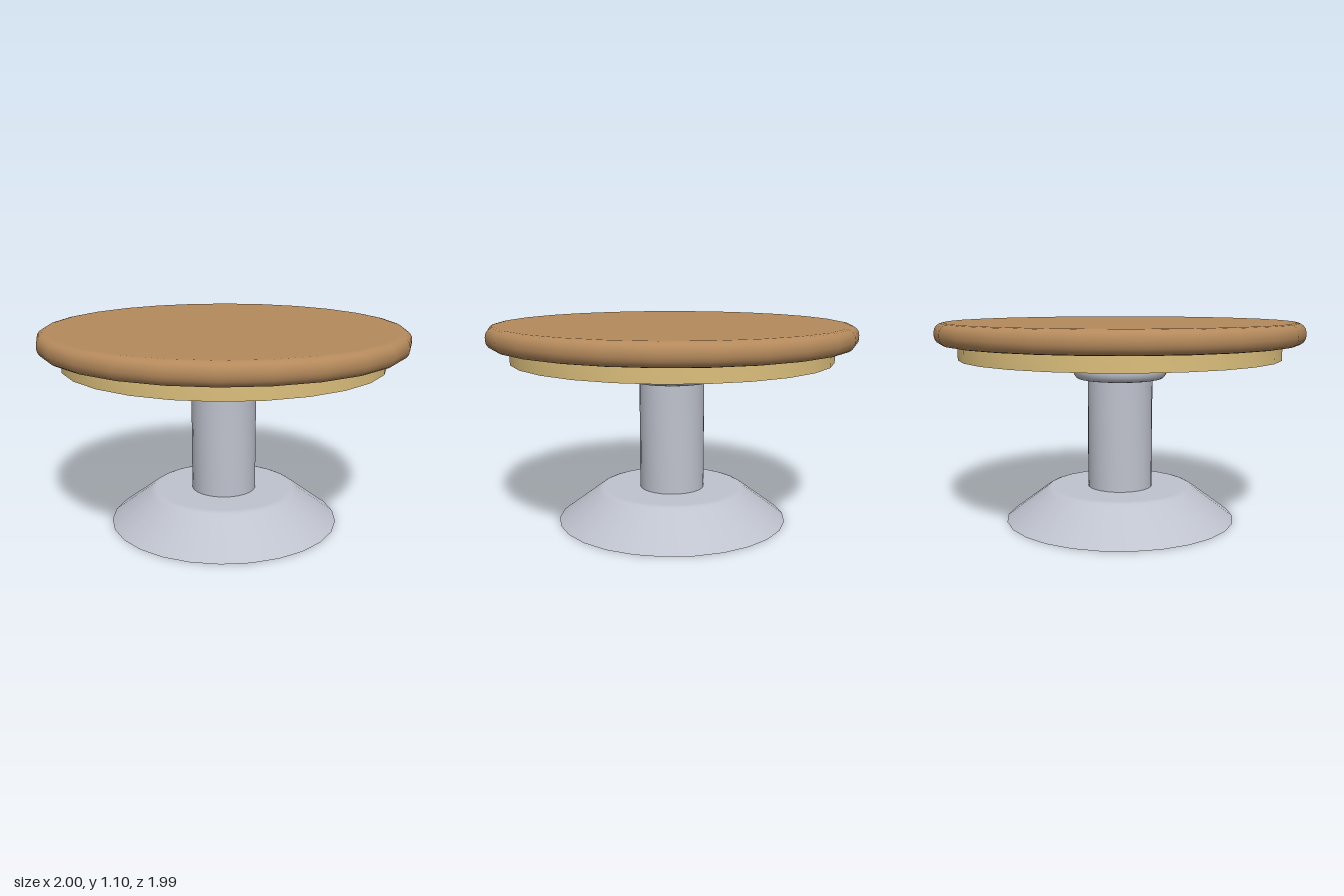
import * as THREE from 'three';
import { toCreasedNormals } from 'three/addons/utils/BufferGeometryUtils.js';

const SIDES = 26;

// Solid of revolution with a corner on the x axis; sharp corners stay sharp
function turned(name, profile, material) {
  const points = profile.map(([r, y]) => new THREE.Vector2(r, y));
  const lathe = new THREE.LatheGeometry(points, SIDES, Math.PI / 2);
  const mesh = new THREE.Mesh(toCreasedNormals(lathe, 0.75), material);
  mesh.name = name;
  return mesh;
}

// Profile of a disc whose rim is rounded above and below
function roundedDisc(radius, bottom, top, bevel, steps = 4) {
  const inner = radius - bevel;
  const profile = [[0, bottom], [inner - 0.01, bottom]];
  for (const [centre, start] of [[bottom + bevel, -Math.PI / 2], [top - bevel, 0]]) {
    for (let i = 0; i <= steps; i++) {
      const a = start + (i / steps) * Math.PI / 2;
      profile.push([inner + bevel * Math.cos(a), centre + bevel * Math.sin(a)]);
    }
  }
  profile.push([inner - 0.01, top], [0, top]);
  return profile;
}

// Profile of a plain straight cylinder
const drum = (r, bottom, top) => [[0, bottom], [r, bottom], [r, top], [0, top]];

export function createModel() {
  const wood = new THREE.MeshStandardMaterial({ name: 'brown wood', color: 0xb58a5c });
  const paleWood = new THREE.MeshStandardMaterial({ name: 'pale wood', color: 0xdcbf7c });
  const metal = new THREE.MeshStandardMaterial({ name: 'grey metal', color: 0xbfc3ce });

  const table = new THREE.Group();
  table.name = 'roundTable';

  // Flared foot with a softened upper edge
  const foot = [[0, 0], [0.64, 0], [0.42, 0.165], [0.405, 0.175], [0.39, 0.18], [0.37, 0.18], [0, 0.18]];
  table.add(
    turned('foot', foot, metal),
    turned('column', drum(0.18, 0.17, 0.85), metal),
    turned('collar', roundedDisc(0.26, 0.785, 0.903, 0.045), metal),
    turned('apron', drum(0.88, 0.903, 1.0), paleWood),
    turned('tableTop', roundedDisc(1, 0.985, 1.102, 0.05), wood),
  );
  return table;
}
